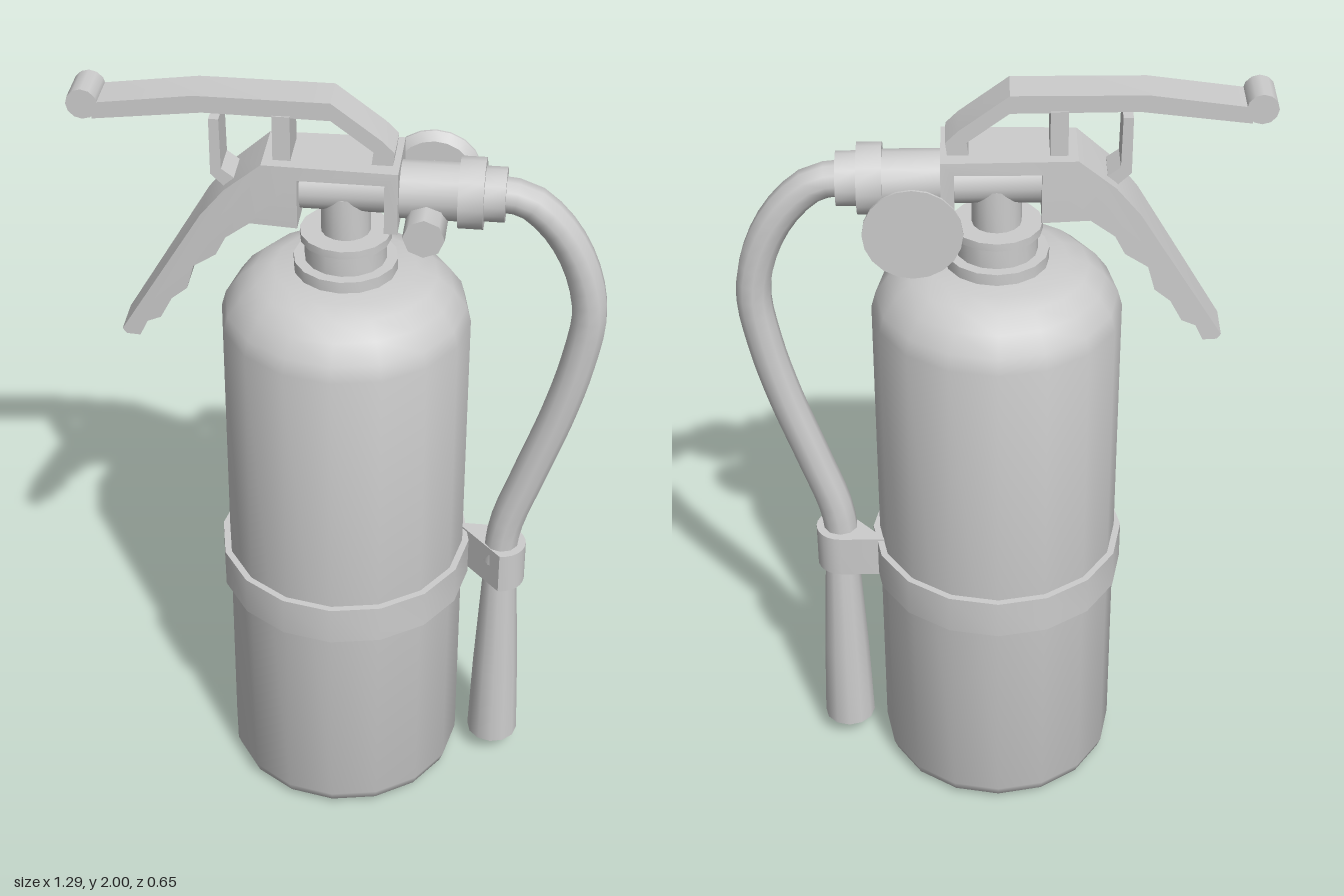
import * as THREE from 'three';
import { toCreasedNormals } from 'three/addons/utils/BufferGeometryUtils.js';

export function createModel() {
  const model = new THREE.Group();
  model.name = 'fireExtinguisher';
  const grey = new THREE.MeshStandardMaterial({ color: 0xcccccc });
  grey.name = 'light grey';

  const add = (name, geometry, x = 0, y = 0, z = 0) => {
    const mesh = new THREE.Mesh(geometry, grey);
    mesh.name = name;
    mesh.position.set(x, y, z);
    model.add(mesh);
    return mesh;
  };
  const vectors = (list) => list.map(([x, y]) => new THREE.Vector2(x, y));
  const lathe = (profile, sides = 16, crease = 0.65) =>
    toCreasedNormals(new THREE.LatheGeometry(vectors(profile), sides), crease);
  // Side outline extruded along z; halfWidth(x) sets its half thickness
  const plate = (outline, halfWidth) => {
    const g = new THREE.ExtrudeGeometry(new THREE.Shape(vectors(outline)), { depth: 2, bevelEnabled: false });
    g.translate(0, 0, -1);
    const p = g.attributes.position;
    for (let i = 0; i < p.count; i++) p.setZ(i, p.getZ(i) * halfWidth(p.getX(i)));
    return toCreasedNormals(g, 0.35);
  };

  // Tank
  add('tank', lathe([[0, 0], [0.275, 0], [0.298, 0.018], [0.308, 0.045], [0.308, 1.4], [0.297, 1.44],
    [0.265, 1.485], [0.225, 1.52], [0.175, 1.537], [0, 1.537]]));
  // Stepped neck
  add('neck', lathe([[0, 1.53], [0.127, 1.53], [0.127, 1.567], [0.1, 1.567], [0.1, 1.622], [0.111, 1.622],
    [0.111, 1.642], [0.06, 1.642], [0.06, 1.75], [0, 1.75]]));
  // Band round the tank
  add('band', lathe([[0.3, 0.607], [0.325, 0.607], [0.325, 0.712], [0.3, 0.712]], 16, 0.5));

  // Horizontal valve body with hose coupling
  const valve = lathe([[0, -0.12], [0.06, -0.12], [0.06, 0.11], [0.07, 0.11], [0.07, 0.27], [0.086, 0.27],
    [0.086, 0.33], [0.066, 0.33], [0.066, 0.38], [0, 0.38]], 16);
  valve.rotateZ(-Math.PI / 2);
  add('valve', valve, 0, 1.76, 0);

  // Lower grip with finger notches and the bracket over the valve
  add('carryHandle', plate([[-0.19, 1.847], [-0.28, 1.77], [-0.34, 1.695], [-0.55, 1.345], [-0.54, 1.332],
    [-0.505, 1.332], [-0.485, 1.375], [-0.45, 1.392], [-0.42, 1.45], [-0.38, 1.485], [-0.362, 1.55],
    [-0.305, 1.59], [-0.28, 1.64], [-0.22, 1.687], [-0.105, 1.687], [-0.105, 1.815], [0.1, 1.815],
    [0.1, 1.687], [0.132, 1.687], [0.132, 1.847]],
  (x) => THREE.MathUtils.clamp(0.09 + (x + 0.1) * 0.086, 0.05, 0.09)));

  // Squeeze lever with rolled tip
  add('lever', plate([[-0.59, 1.967], [-0.35, 2], [-0.03, 2], [0.09, 1.91], [0.12, 1.88], [0.115, 1.84],
    [0.065, 1.84], [0.07, 1.88], [-0.03, 1.955], [-0.33, 1.958], [-0.59, 1.926]], () => 0.05));
  const tip = new THREE.CylinderGeometry(0.038, 0.038, 0.1, 12);
  tip.rotateX(Math.PI / 2);
  add('leverTip', tip, -0.612, 1.962, 0);
  add('leverPost', new THREE.BoxGeometry(0.042, 0.125, 0.108), -0.145, 1.898, 0);
  add('leverCatch', plate([[-0.316, 1.94], [-0.292, 1.94], [-0.29, 1.81], [-0.26, 1.788], [-0.255, 1.765],
    [-0.285, 1.765], [-0.316, 1.795]], () => 0.045));

  // Pressure gauge at the back, on a cross stem
  const stem = new THREE.CylinderGeometry(0.05, 0.05, 0.29, 8);
  stem.rotateX(Math.PI / 2);
  add('gaugeStem', toCreasedNormals(stem, 0.9), 0.197, 1.705, -0.012);
  const gauge = lathe([[0, 0], [0.098, 0], [0.118, 0.018], [0.118, 0.024], [0, 0.024]], 20, 0.5);
  gauge.rotateX(-Math.PI / 2);
  add('gauge', gauge, 0.197, 1.708, -0.152);

  // Hose
  const path = new THREE.CatmullRomCurve3([[0.36, 1.762], [0.43, 1.75], [0.505, 1.685], [0.565, 1.58],
    [0.594, 1.45], [0.575, 1.3], [0.535, 1.14], [0.47, 0.94], [0.42, 0.78], [0.405, 0.66]]
    .map(([x, y]) => new THREE.Vector3(x, y, 0)));
  add('hose', new THREE.TubeGeometry(path, 28, 0.044, 10, false));

  // Nozzle horn and its clamp
  add('nozzle', lathe([[0, 0.06], [0.068, 0.06], [0.06, 0.3], [0.043, 0.64], [0, 0.64]], 12), 0.411, 0, 0);
  const outline = new THREE.Shape();
  outline.moveTo(0.29, -0.065);
  outline.absarc(0.41, 0, 0.065, -Math.PI / 2, Math.PI / 2, false);
  outline.lineTo(0.29, 0.065);
  const clamp = new THREE.ExtrudeGeometry(outline, { depth: 0.117, bevelEnabled: false, curveSegments: 6 });
  clamp.rotateX(-Math.PI / 2);
  add('hoseClamp', toCreasedNormals(clamp, 0.65), 0, 0.6, 0);

  return model;
}
